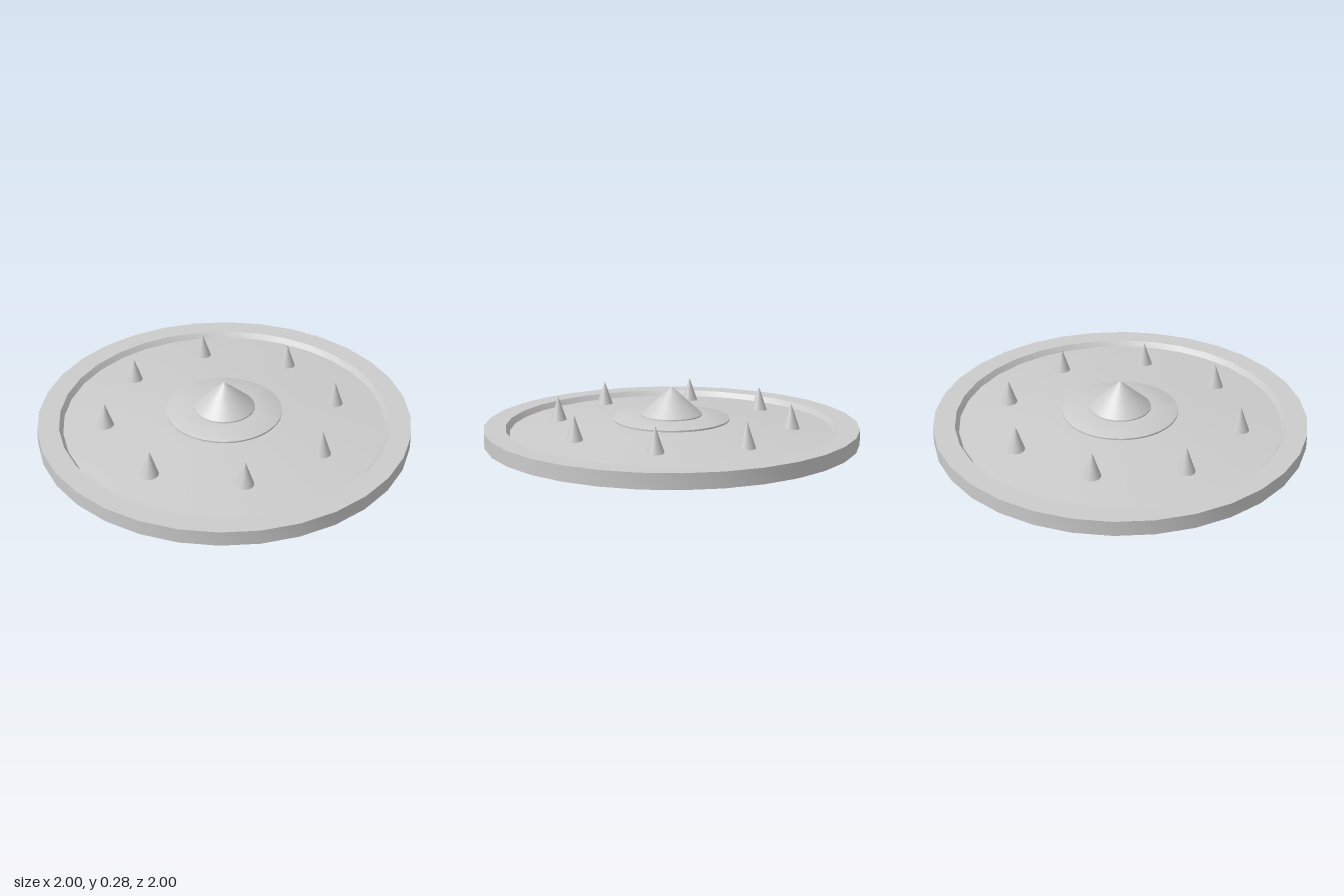
import * as THREE from 'three';
import { toCreasedNormals } from 'three/addons/utils/BufferGeometryUtils.js';

const material = new THREE.MeshStandardMaterial({ color: 0xcccccc });

// Turned part from [radius, height] points, running up the outside
function turned(name, points, sides) {
  const profile = points.map(([r, y]) => new THREE.Vector2(r, y));
  const geometry = toCreasedNormals(new THREE.LatheGeometry(profile, sides), 0.5);
  const mesh = new THREE.Mesh(geometry, material);
  mesh.name = name;
  return mesh;
}

export function createModel() {
  const shield = new THREE.Group();
  shield.name = 'roundShield';

  // Raised outer rim with bevelled inner edges
  shield.add(turned('rim', [
    [0.865, 0.015], [0.875, 0], [1, 0], [1, 0.08], [0.885, 0.08], [0.865, 0.05],
  ], 32));

  // Gently domed face, hollow underneath
  shield.add(turned('face', [
    [0, 0.09], [0.3, 0.077], [0.6, 0.048], [0.865, 0.015],
    [0.865, 0.05], [0.72, 0.066], [0.57, 0.08], [0.42, 0.095], [0.25, 0.108], [0, 0.115],
  ], 32));

  // Round plate and pointed boss at the centre
  shield.add(turned('bossPlate', [
    [0.31, 0.095], [0.31, 0.112], [0.304, 0.115], [0.16, 0.128], [0, 0.128],
  ], 48));
  shield.add(turned('boss', [[0.165, 0.12], [0.163, 0.134], [0.08, 0.209], [0, 0.282]], 32));

  // Ring of spikes, set by hand and so slightly uneven
  const spikes = new THREE.Group();
  spikes.name = 'spikes';
  const spikeGeometry = new THREE.ConeGeometry(0.05, 0.145, 24);
  const spots = [
    [0, -0.625], [0.425, -0.44], [0.613, 0], [0.437, 0.443],
    [0, 0.648], [-0.46, 0.443], [-0.615, 0], [-0.46, -0.44],
  ];
  for (const [x, z] of spots) {
    const spike = new THREE.Mesh(spikeGeometry, material);
    spike.name = 'spike';
    spike.position.set(x, 0.1335, z);
    spikes.add(spike);
  }
  shield.add(spikes);

  // Strap handle on the underside, its ends sloping up to the face
  const strap = new THREE.Shape();
  [
    [-0.35, 0.085], [-0.3, 0.035], [0.3, 0.035], [0.35, 0.085],
    [0.32, 0.085], [0.285, 0.055], [-0.285, 0.055], [-0.32, 0.085],
  ].forEach(([x, y], i) => (i ? strap.lineTo(x, y) : strap.moveTo(x, y)));
  strap.closePath();
  const handleGeometry = new THREE.ExtrudeGeometry(strap, { depth: 0.11, bevelEnabled: false });
  handleGeometry.translate(0, 0, -0.055);
  const handle = new THREE.Mesh(handleGeometry, material);
  handle.name = 'handle';
  shield.add(handle);

  return shield;
}
